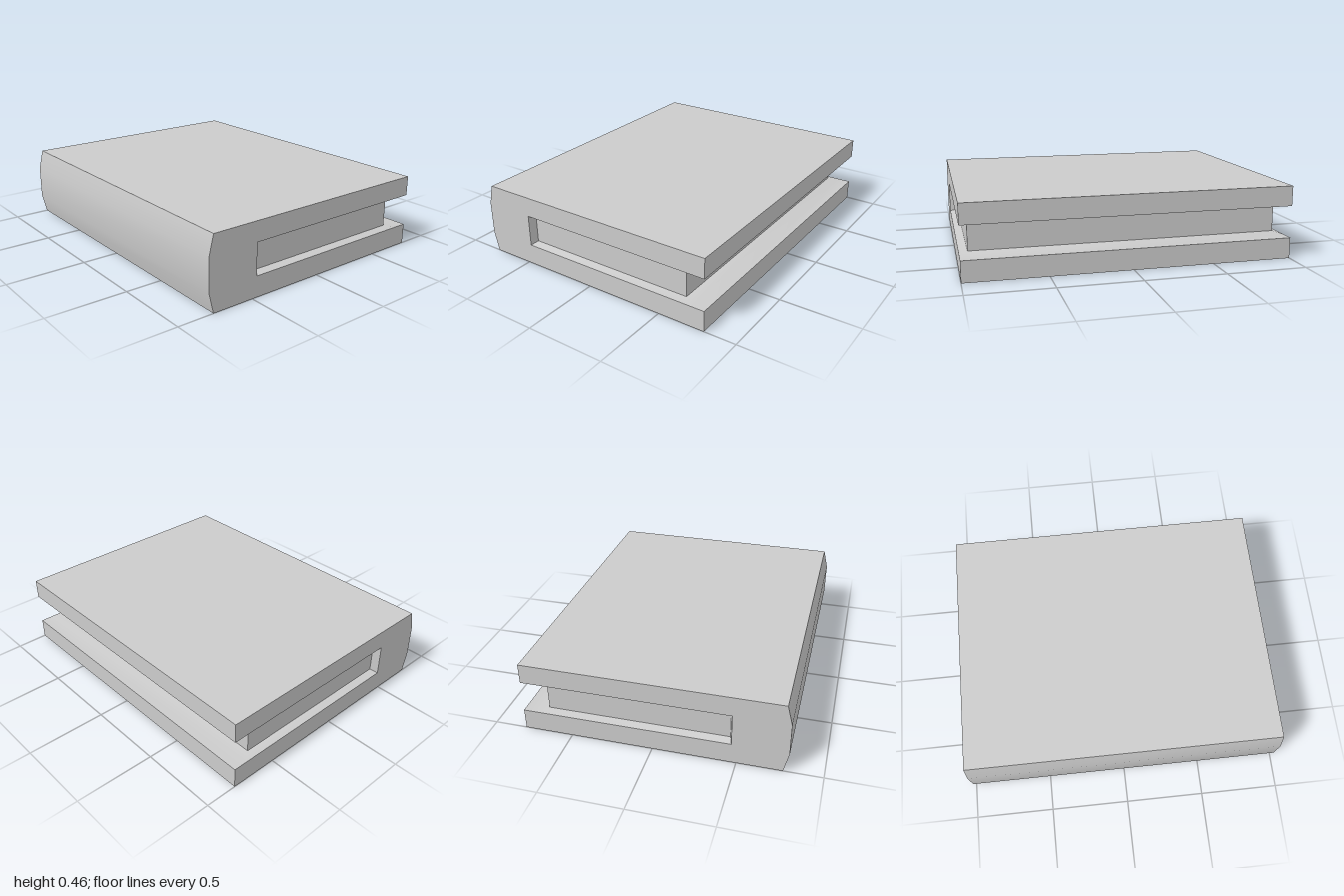
import * as THREE from 'three';
import { toCreasedNormals } from 'three/addons/utils/BufferGeometryUtils.js';

const grey = new THREE.MeshStandardMaterial({ color: 0xcccccc });

// Collects quads and triangles, corners counter-clockwise from outside
class Surface {
  positions = [];
  tri(a, b, c) { this.positions.push(...a, ...b, ...c); }
  quad(a, b, c, d) { this.tri(a, b, c); this.tri(a, c, d); }
  // Joins a lower and an upper row of points
  bridge(lo, hi) {
    for (let i = 0; i < lo.length - 1; i++) this.quad(lo[i], lo[i + 1], hi[i + 1], hi[i]);
  }
  mesh(name) {
    const g = new THREE.BufferGeometry();
    g.setAttribute('position', new THREE.Float32BufferAttribute(this.positions, 3));
    const m = new THREE.Mesh(toCreasedNormals(g, 0.5), grey);
    m.name = name;
    return m;
  }
}

// U-shaped row around the page block: front, fore edge, back
const row = (x0, x1, z, y) => [[x0, y, z], [x1, y, z], [x1, y, -z], [x0, y, -z]];

export function createModel() {
  const outerLow = row(-0.47, 0.715, 1, 0.13);
  const innerLow = row(-0.455, 0.655, 0.95, 0.142);
  const innerHigh = row(-0.455, 0.655, 0.95, 0.318);
  const outerHigh = row(-0.47, 0.715, 1, 0.33);

  // Binding: boards and spine share one profile swept from back to front
  const binding = new Surface();
  const profile = [
    [0.715, 0.33], [0.8, 0.33], [0.8, 0.455], [-0.77, 0.455], [-0.8, 0.33],
    [-0.8, 0.125], [-0.77, 0], [0.8, 0], [0.8, 0.13], [0.715, 0.13],
  ];
  const at = (p, z) => [p[0], p[1], z];
  for (let i = 0; i < profile.length - 1; i++) {
    const a = profile[i], b = profile[i + 1];
    binding.quad(at(a, 1), at(a, -1), at(b, -1), at(b, 1));
  }

  // C-shaped ends
  const outline = [...profile, [-0.47, 0.13], [-0.47, 0.33]];
  const points = outline.map(([x, y]) => new THREE.Vector2(x, y));
  for (const [i, j, k] of THREE.ShapeUtils.triangulateShape(points, [])) {
    binding.tri(at(outline[i], 1), at(outline[j], 1), at(outline[k], 1));
    binding.tri(at(outline[k], -1), at(outline[j], -1), at(outline[i], -1));
  }

  // Sloped lips of the boards and the spine ends of the recess
  binding.bridge(outerLow, innerLow);
  binding.bridge(innerHigh, outerHigh);
  binding.quad(outerLow[0], innerLow[0], innerHigh[0], outerHigh[0]);
  binding.quad(outerHigh[3], innerHigh[3], innerLow[3], outerLow[3]);

  // Page edges set back between the boards
  const pages = new Surface();
  pages.bridge(innerLow, innerHigh);

  const book = new THREE.Group();
  book.name = 'book';
  book.add(binding.mesh('binding'), pages.mesh('pages'));
  return book;
}
